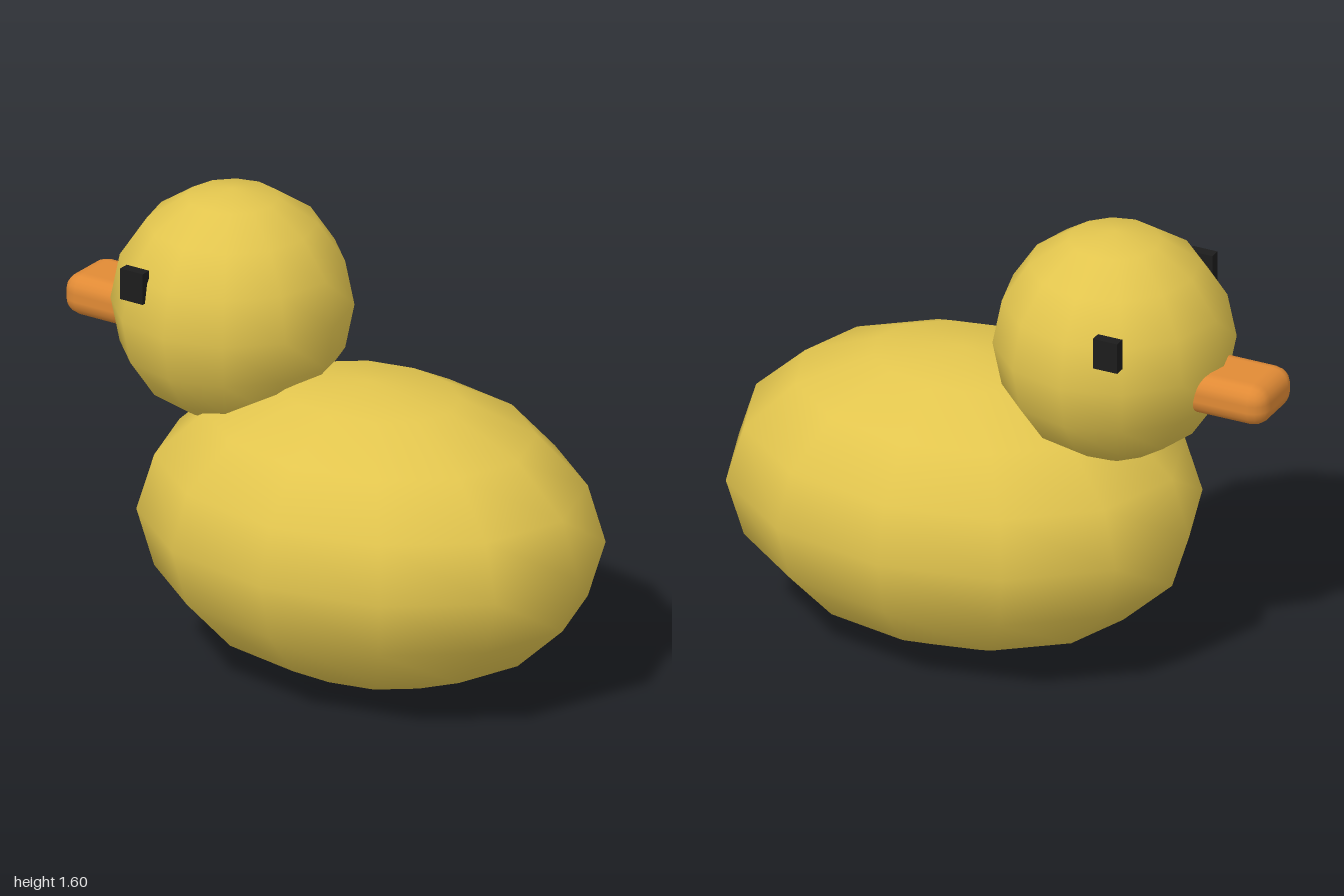
import * as THREE from 'three';
import { RoundedBoxGeometry } from 'three/addons/geometries/RoundedBoxGeometry.js';

function material(name, color) {
  const m = new THREE.MeshStandardMaterial({ color });
  m.name = name;
  return m;
}

export function createModel() {
  const group = new THREE.Group();
  group.name = 'duck';

  const yellow = material('yellow', 0xe2c54e);
  const orange = material('orange', 0xe08a35);
  const black = material('black', 0x1c1c1c);

  const add = (name, geometry, mat, x, y, z) => {
    const mesh = new THREE.Mesh(geometry, mat);
    mesh.name = name;
    mesh.position.set(x, y, z);
    group.add(mesh);
    return mesh;
  };

  // Body and head: coarse smooth spheres
  const ball = new THREE.SphereGeometry(1, 12, 8);
  add('body', ball, yellow, 0.166, 0.52, 0).scale.set(0.832, 0.518, 0.645);
  add('head', ball, yellow, -0.39, 1.193, 0).scale.setScalar(0.405);

  // Beak: rounded block reaching into the head
  add('beak', new RoundedBoxGeometry(0.36, 0.146, 0.25, 2, 0.06), orange, -0.82, 1.113, 0);

  // Eyes: one square plate on each side
  const eye = new THREE.BoxGeometry(0.09, 0.11, 0.038);
  for (const side of [1, -1]) {
    add(side > 0 ? 'eyeFront' : 'eyeBack', eye, black, -0.54, 1.337, side * 0.353);
  }

  return group;
}
